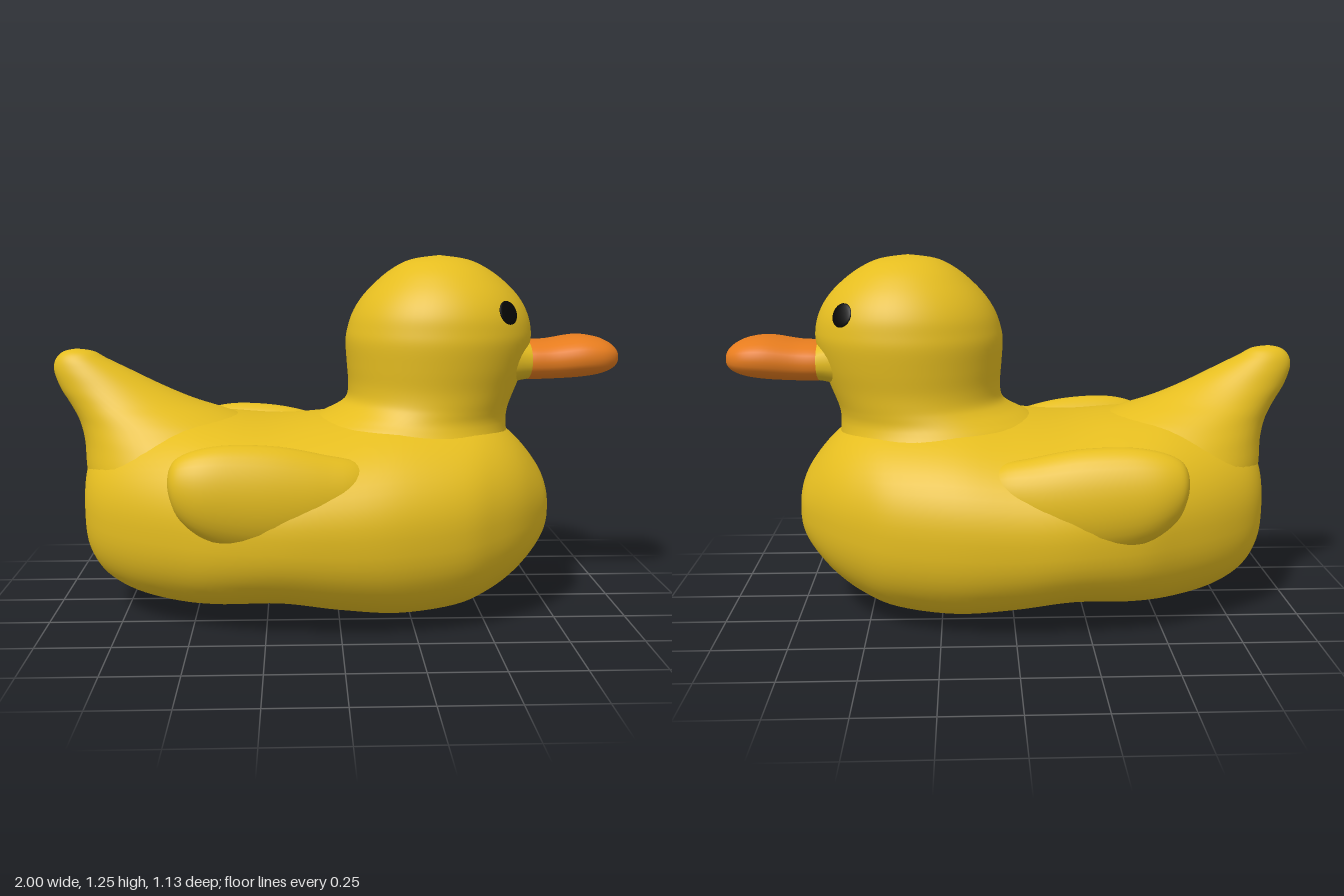
import * as THREE from 'three';
import { mergeVertices } from 'three/addons/utils/BufferGeometryUtils.js';

// Smooth curve through rows of numbers
function sample(rows, t) {
  const i = Math.min(Math.floor(t), rows.length - 2);
  const f = t - i;
  const row = (k) => rows[THREE.MathUtils.clamp(k, 0, rows.length - 1)];
  const [a, b, c, d] = [row(i - 1), row(i), row(i + 1), row(i + 2)];
  return b.map((p, k) => {
    const m0 = (c[k] - a[k]) / 2, m1 = (d[k] - p) / 2, e = c[k] - p;
    return p + f * (m0 + f * (3 * e - 2 * m0 - m1 + f * (m0 + m1 - 2 * e)));
  });
}

// Loft of rounded rings along x or y. Row: position, low edge, high edge, half width in z, centre z.
// Edges run in y for an x loft and in x for a y loft. Powers below 1 make the high and low
// halves of the rings squarer.
function loft(axis, rows, segments, highPower = 1, lowPower = highPower, steps = 5) {
  const positions = [], index = [];
  const count = (rows.length - 1) * steps;
  for (let i = 0; i <= count; i++) {
    const [p, low, high, half, centre = 0] = sample(rows, i / steps);
    for (let j = 0; j < segments; j++) {
      const angle = (j / segments) * Math.PI * 2;
      const cos = Math.cos(angle), sin = Math.sin(angle);
      const power = cos > 0 ? highPower : lowPower;
      const u = (low + high) / 2 + ((high - low) / 2) * Math.sign(cos) * Math.abs(cos) ** power;
      const v = half * Math.sign(sin) * Math.abs(sin) ** power;
      if (axis === 'x') positions.push(p, u, centre + v);
      else positions.push(u, p, centre - v);
      if (i < count) {
        const a = i * segments + j, b = i * segments + ((j + 1) % segments);
        index.push(a, b, a + segments, b, b + segments, a + segments);
      }
    }
  }
  let geometry = new THREE.BufferGeometry();
  geometry.setAttribute('position', new THREE.Float32BufferAttribute(positions, 3));
  geometry.setIndex(index);
  geometry = mergeVertices(geometry, 1e-5);
  geometry.computeVertexNormals();
  return geometry;
}

export function createModel() {
  const duck = new THREE.Group();
  duck.name = 'duck';
  const material = (name, color) => {
    const m = new THREE.MeshStandardMaterial({ color });
    m.name = name;
    return m;
  };
  const yellow = material('yellow', 0xe5bd20);
  const orange = material('orange', 0xe67c1e);
  const black = material('black', 0x060606);
  const add = (name, geometry, mat) => {
    const mesh = new THREE.Mesh(geometry, mat);
    mesh.name = name;
    duck.add(mesh);
    return mesh;
  };

  // Plump hull, from the back to the breast
  add('body', loft('x', [
    [-0.895, 0.37, 0.37, 0],
    [-0.89, 0.27, 0.49, 0.1],
    [-0.87, 0.2, 0.55, 0.185],
    [-0.81, 0.125, 0.615, 0.27],
    [-0.7, 0.07, 0.67, 0.355],
    [-0.55, 0.042, 0.7, 0.44],
    [-0.4, 0.04, 0.695, 0.51],
    [-0.2, 0.05, 0.68, 0.55],
    [0, 0.022, 0.695, 0.55],
    [0.2, 0.003, 0.72, 0.53],
    [0.4, 0.022, 0.71, 0.475],
    [0.52, 0.065, 0.685, 0.405],
    [0.62, 0.13, 0.625, 0.32],
    [0.7, 0.21, 0.535, 0.215],
    [0.742, 0.28, 0.455, 0.125],
    [0.757, 0.36, 0.36, 0],
  ], 64, 0.93, 0.8), yellow);

  // Upswept tail, rising out of the back
  add('tail', loft('y', [
    [0.35, -0.86, -0.2, 0.32],
    [0.45, -0.885, -0.2, 0.34],
    [0.52, -0.893, -0.2, 0.33],
    [0.6, -0.897, -0.22, 0.285],
    [0.66, -0.91, -0.28, 0.235],
    [0.7, -0.927, -0.38, 0.195],
    [0.74, -0.95, -0.5, 0.155],
    [0.79, -0.98, -0.615, 0.118],
    [0.85, -1, -0.735, 0.085],
    [0.89, -0.992, -0.815, 0.062],
    [0.915, -0.965, -0.86, 0.037],
    [0.925, -0.92, -0.92, 0],
  ], 48), yellow);

  // Round head on a flared neck
  add('headAndNeck', loft('y', [
    [0.5, -0.16, 0.61, 0.36],
    [0.6, -0.15, 0.61, 0.35],
    [0.66, -0.11, 0.605, 0.314],
    [0.69, -0.06, 0.605, 0.296],
    [0.72, 0, 0.61, 0.286],
    [0.75, 0.033, 0.62, 0.281],
    [0.8, 0.04, 0.64, 0.28],
    [0.87, 0.035, 0.665, 0.288],
    [0.95, 0.03, 0.685, 0.295],
    [1, 0.038, 0.685, 0.29],
    [1.05, 0.055, 0.672, 0.28],
    [1.1, 0.085, 0.645, 0.256],
    [1.15, 0.13, 0.6, 0.217],
    [1.2, 0.19, 0.535, 0.16],
    [1.235, 0.26, 0.46, 0.09],
    [1.25, 0.36, 0.36, 0],
  ], 64), yellow);

  // Fillet where the face runs out to the beak
  add('beakRoot', loft('x', [
    [0.58, 0.79, 0.99, 0.165],
    [0.64, 0.808, 0.966, 0.146],
    [0.675, 0.814, 0.953, 0.135],
  ], 32, 0.85), yellow);

  // Flat, broad beak
  add('beak', loft('x', [
    [0.64, 0.819, 0.945, 0.13],
    [0.68, 0.813, 0.951, 0.135],
    [0.75, 0.814, 0.955, 0.137],
    [0.85, 0.82, 0.97, 0.15],
    [0.92, 0.83, 0.963, 0.142],
    [0.965, 0.845, 0.945, 0.115],
    [0.99, 0.865, 0.922, 0.072],
    [1, 0.893, 0.893, 0],
  ], 32, 0.85), orange);

  for (const side of [1, -1]) {
    const label = side > 0 ? 'left' : 'right';

    // Wing, tip to the rear and sinking into the flank towards the front
    const wing = [
      [-0.56, 0.54, 0.54, 0, 0.47],
      [-0.55, 0.485, 0.59, 0.045, 0.47],
      [-0.52, 0.42, 0.625, 0.072, 0.473],
      [-0.45, 0.36, 0.65, 0.095, 0.47],
      [-0.35, 0.32, 0.66, 0.105, 0.46],
      [-0.2, 0.3, 0.65, 0.108, 0.442],
      [-0.05, 0.32, 0.617, 0.1, 0.42],
      [0.08, 0.38, 0.58, 0.08, 0.39],
      [0.2, 0.48, 0.48, 0, 0.35],
    ].map(([x, low, high, half, z]) => [x, low, high, half, side * z]);
    add(label + 'Wing', loft('x', wing, 32), yellow);

    // Eye, a thin domed disc lying on the head
    const normal = new THREE.Vector3(2.2, 1.2, side * 2.67).normalize();
    const eye = add(label + 'Eye', new THREE.SphereGeometry(1, 24, 12), black);
    eye.scale.set(0.042, 0.042, 0.008);
    eye.quaternion.setFromUnitVectors(new THREE.Vector3(0, 0, 1), normal);
    eye.position.set(0.57, 1.06, side * 0.203).addScaledVector(normal, 0.003);
  }
  return duck;
}
